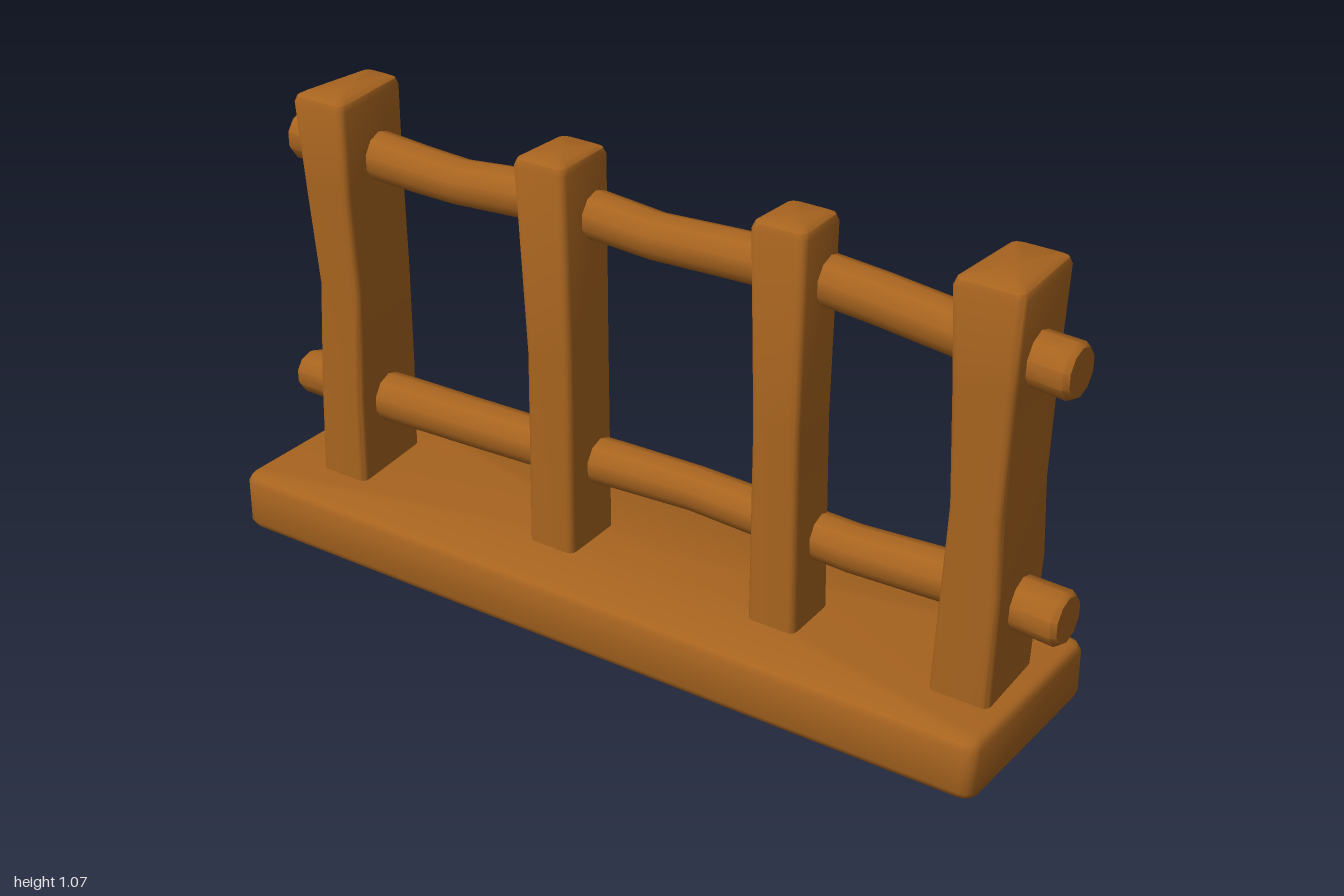
import * as THREE from 'three';
import { toCreasedNormals } from 'three/addons/utils/BufferGeometryUtils.js';

// Skin a list of equal-sized point rings and close both ends
function loft(rings, crease = 0.75) {
  const n = rings[0].length;
  const points = rings.flat();
  const index = [];
  for (let r = 0; r < rings.length - 1; r++) {
    for (let i = 0; i < n; i++) {
      const a = r * n + i, b = r * n + (i + 1) % n;
      index.push(a, b, b + n, a, b + n, a + n);
    }
  }
  const centre = ring => ring.reduce((s, p) => s.add(p), new THREE.Vector3()).divideScalar(n);
  const start = points.length, end = start + 1, last = (rings.length - 1) * n;
  points.push(centre(rings[0]), centre(rings[rings.length - 1]));
  for (let i = 0; i < n; i++) {
    const j = (i + 1) % n;
    index.push(start, j, i, end, last + i, last + j);
  }
  const g = new THREE.BufferGeometry().setFromPoints(points);
  g.setIndex(index);
  return toCreasedNormals(g, crease);
}

// Horizontal rectangle with rounded corners; the back edge may be narrower
function rectRing(y, x0, x1, zBack, zFront, radius, backInset = 0, shrink = 0) {
  const corners = [
    [x1 - backInset, zBack, 1, -1], [x0 + backInset, zBack, -1, -1],
    [x0, zFront, -1, 1], [x1, zFront, 1, 1],
  ];
  const ring = [];
  corners.forEach(([x, z, sx, sz], c) => {
    for (let k = 0; k < 4; k++) {
      const a = (c + k / 3) * Math.PI / 2;
      const inner = radius + shrink;
      ring.push(new THREE.Vector3(
        x - sx * inner + Math.cos(a) * radius, y, z - sz * inner - Math.sin(a) * radius));
    }
  });
  return ring;
}

// Post: levels are [y, x0, x1, zBack, zFront], the last one gets a soft bevel
function postGeometry(levels, backInset) {
  const top = levels[levels.length - 1];
  const ring = ([, ...s], y, shrink = 0) => rectRing(y, ...s, 0.016, backInset, shrink);
  return loft([
    ...levels.slice(0, -1).map(l => ring(l, l[0])),
    ring(top, top[0] - 0.022),
    ring(top, top[0] - 0.007, 0.005),
    ring(top, top[0], 0.018),
  ]);
}

// Rail: stations are [x, y, z, radius], smoothed along the length
function railGeometry(stations) {
  const path = new THREE.CatmullRomCurve3(stations.map(s => new THREE.Vector3(s[0], s[1], s[2])));
  const steps = (stations.length - 1) * 2, sides = 10;
  const ring = (t, scale, dx) => {
    const p = path.getPoint(t), f = t * (stations.length - 1);
    const i = Math.min(Math.floor(f), stations.length - 2);
    const r = THREE.MathUtils.lerp(stations[i][3], stations[i + 1][3], f - i) * scale;
    return Array.from({ length: sides }, (_, k) => {
      const a = k / sides * Math.PI * 2;
      return new THREE.Vector3(p.x + dx, p.y + Math.cos(a) * r, p.z + Math.sin(a) * r);
    });
  };
  const rings = [ring(0, 0.86, 0), ring(0, 1, 0.012)];
  for (let i = 1; i < steps; i++) rings.push(ring(i / steps, 1, 0));
  rings.push(ring(1, 1, -0.012), ring(1, 0.86, 0));
  return loft(rings);
}

export function createModel() {
  const model = new THREE.Group();
  model.name = 'woodenFence';
  const wood = new THREE.MeshStandardMaterial({ color: 0xa8641f });
  wood.name = 'brown wood';
  const add = (name, geometry) => {
    const mesh = new THREE.Mesh(geometry, wood);
    mesh.name = name;
    model.add(mesh);
  };

  // Base plank with rounded edges, slightly narrower towards +x
  const plank = [[0, 0.018], [0.006, 0.006], [0.02, 0], [0.118, 0], [0.133, 0.006], [0.14, 0.018]]
    .map(([y, shrink]) => rectRing(y, -1, 0.935, -0.254, 0.25, 0.03, 0, shrink));
  plank.flat().forEach(p => { p.z *= 1 - 0.02 * (p.x + 1); });
  add('basePlank', loft(plank));

  // Posts, two thick outer ones and two slim inner ones
  add('rightOuterPost', postGeometry([
    [0.1, -0.868, -0.74, -0.105, 0.12],
    [0.35, -0.86, -0.738, -0.108, 0.12],
    [0.62, -0.848, -0.732, -0.1, 0.115],
    [0.85, -0.868, -0.742, -0.105, 0.12],
    [1.07, -0.887, -0.745, -0.108, 0.12],
  ], 0.02));
  add('rightInnerPost', postGeometry([
    [0.1, -0.27, -0.15, -0.06, 0.105],
    [0.6, -0.27, -0.153, -0.06, 0.1],
    [1.06, -0.287, -0.155, -0.062, 0.11],
  ], 0.004));
  add('leftInnerPost', postGeometry([
    [0.1, 0.307, 0.425, -0.048, 0.1],
    [0.6, 0.307, 0.418, -0.046, 0.098],
    [1.06, 0.295, 0.425, -0.048, 0.1],
  ], 0.004));
  add('leftOuterPost', postGeometry([
    [0.1, 0.75, 0.89, -0.1, 0.11],
    [0.4, 0.768, 0.9, -0.112, 0.115],
    [0.58, 0.778, 0.896, -0.104, 0.118],
    [0.85, 0.768, 0.905, -0.102, 0.12],
    [1.07, 0.757, 0.912, -0.108, 0.12],
  ], 0.01));

  // Wavy rails running through the posts
  add('upperRail', railGeometry([
    [-0.985, 0.912, -0.015, 0.06],
    [-0.75, 0.91, -0.012, 0.056],
    [-0.52, 0.903, -0.01, 0.052],
    [-0.28, 0.924, -0.01, 0.056],
    [0, 0.907, -0.01, 0.052],
    [0.36, 0.921, -0.016, 0.055],
    [0.72, 0.907, 0.015, 0.055],
    [0.995, 0.895, 0.025, 0.06],
  ]));
  add('lowerRail', railGeometry([
    [-1, 0.31, 0, 0.052],
    [-0.7, 0.32, 0.008, 0.057],
    [-0.3, 0.32, -0.01, 0.055],
    [0.1, 0.336, -0.014, 0.05],
    [0.5, 0.324, -0.012, 0.053],
    [0.76, 0.342, -0.004, 0.056],
    [1, 0.336, 0, 0.06],
  ]));
  return model;
}
